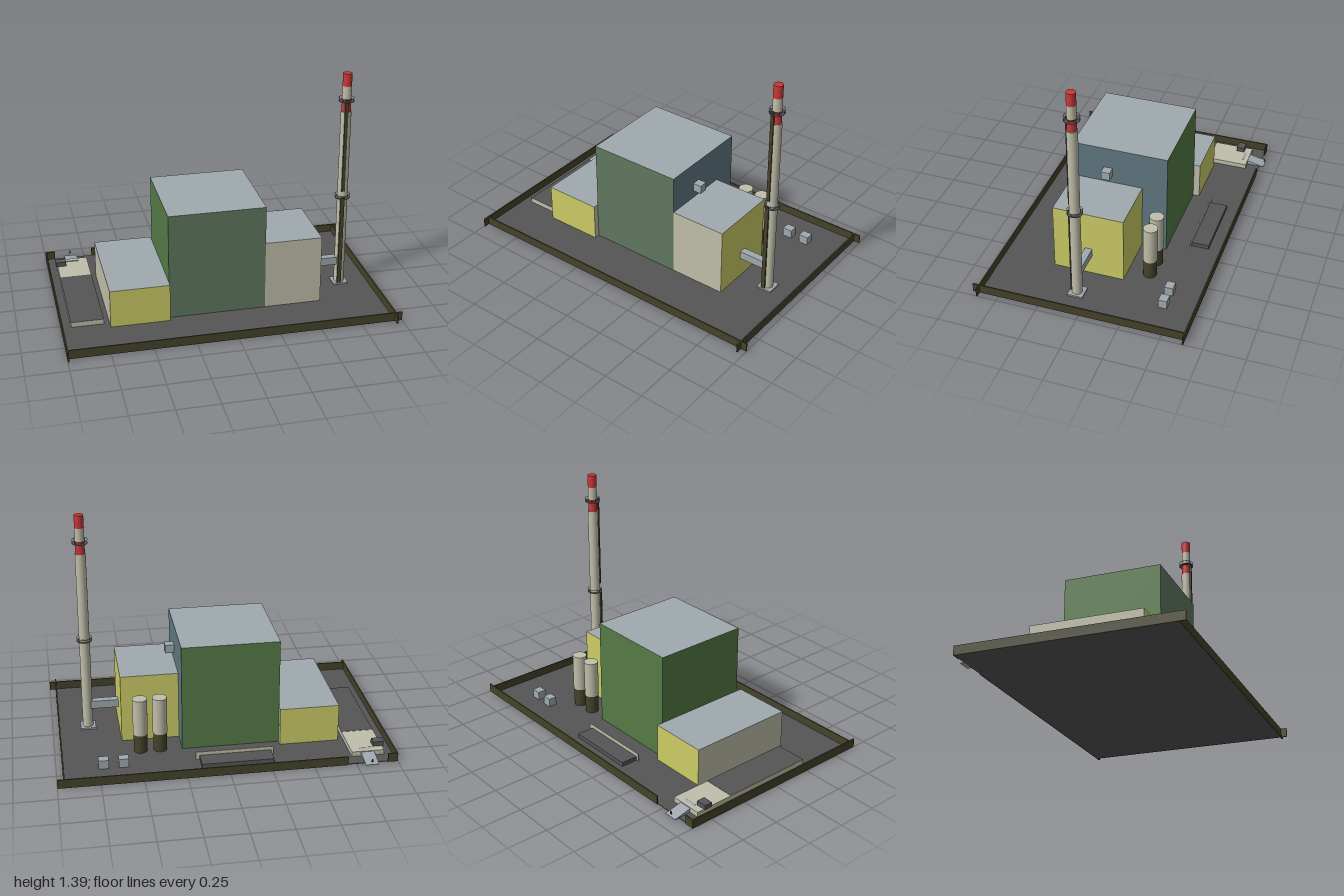
import * as THREE from 'three';

const mat = (name, color) => {
  const m = new THREE.MeshStandardMaterial({ color });
  m.name = name;
  return m;
};

export function createModel() {
  const root = new THREE.Group();
  const cream = mat('cream', 0xc0beaa), yellow = mat('yellow', 0xcccc66);
  const greyGreen = mat('greyGreen', 0x607860), leafGreen = mat('leafGreen', 0x557a46);
  const blue = mat('slateBlue', 0x607882), grey = mat('roofGrey', 0xa0aaaf);
  const asphalt = mat('asphalt', 0x555555), olive = mat('darkOlive', 0x45432a);
  const red = mat('red', 0xc83838);

  const add = (name, geo, material, x = 0, y = 0, z = 0, parent = root) => {
    const m = new THREE.Mesh(geo, material);
    m.name = name;
    m.position.set(x, y, z);
    parent.add(m);
    return m;
  };
  // Box given by its limits on each axis; material may be one per side: +x, -x, +y, -y, +z, -z
  const box = (name, material, x0, x1, y0, y1, z0, z1, parent = root) =>
    add(name, new THREE.BoxGeometry(x1 - x0, y1 - y0, z1 - z0), material,
      (x0 + x1) / 2, (y0 + y1) / 2, (z0 + z1) / 2, parent);
  const tube = (name, material, r0, r1, y0, y1, x, z, parent = root) =>
    add(name, new THREE.CylinderGeometry(r1, r0, y1 - y0, 24), material, x, (y0 + y1) / 2, z, parent);

  // Yard and perimeter wall, open at the gate
  box('ground', asphalt, -0.995, 0.96, 0, 0.004, -0.632, 0.62);
  const wall = new THREE.Group();
  wall.name = 'perimeterWall';
  root.add(wall);
  box('frontWall', olive, -1, 1, 0, 0.055, 0.617, 0.625, wall);
  box('backWallLong', olive, -0.7, 1, 0, 0.055, -0.638, -0.63, wall);
  box('backWallShort', olive, -1, -0.94, 0, 0.055, -0.638, -0.63, wall);
  box('leftWall', olive, 0.956, 0.964, 0, 0.055, -0.638, 0.66, wall);
  box('rightWall', olive, -1, -0.992, 0, 0.055, -0.638, 0.66, wall);

  // Three building blocks
  box('mainHall', [blue, leafGreen, grey, asphalt, greyGreen, leafGreen],
    -0.35, 0.24, 0.002, 0.67, -0.3, 0.295);
  box('lowHall', [cream, cream, grey, asphalt, yellow, yellow],
    -0.71, -0.35, 0.002, 0.24, -0.34, 0.33);
  box('boilerHall', [yellow, cream, grey, asphalt, cream, yellow],
    0.24, 0.59, 0.002, 0.433, -0.145, 0.293);
  box('wallVent', grey, 0.24, 0.295, 0.482, 0.535, 0.043, 0.098);

  // Chimney with painted bands, ladder and two railed platforms
  const chimney = new THREE.Group();
  chimney.name = 'chimney';
  chimney.position.set(0.781, 0, 0.075);
  root.add(chimney);
  box('chimneyBase', grey, -0.047, 0.047, 0.002, 0.014, -0.047, 0.047, chimney);
  tube('shaft', cream, 0.032, 0.032, 0.01, 1.15, 0, 0, chimney);
  tube('lowerRedBand', red, 0.028, 0.028, 1.15, 1.23, 0, 0, chimney);
  tube('paleBand', cream, 0.028, 0.028, 1.23, 1.31, 0, 0, chimney);
  tube('upperRedBand', red, 0.028, 0.028, 1.31, 1.388, 0, 0, chimney);
  box('lowerLadder', olive, -0.022, 0.002, 0.014, 0.6, 0.03, 0.041, chimney);
  box('upperLadder', olive, -0.018, 0.002, 0.64, 1.228, 0.028, 0.038, chimney);
  for (const y of [0.59, 1.215]) {
    const deck = add('platform', new THREE.CylinderGeometry(0.047, 0.047, 0.003, 24), grey, 0, y, 0, chimney);
    deck.material = asphalt;
    const rail = add('rail', new THREE.TorusGeometry(0.046, 0.0015, 6, 24), grey, 0, y + 0.02, 0, chimney);
    rail.rotation.x = Math.PI / 2;
    for (let i = 0; i < 8; i++) {
      const a = (i / 8) * Math.PI * 2;
      add('railPost', new THREE.BoxGeometry(0.002, 0.02, 0.002), grey,
        0.046 * Math.cos(a), y + 0.01, 0.046 * Math.sin(a), chimney);
    }
  }
  box('flueDuct', grey, 0.59, 0.76, 0.135, 0.185, 0.05, 0.095);

  // Pair of silos on dark skirts, and pair of small units
  for (const x of [0.37, 0.488]) {
    tube('siloSkirt', olive, 0.041, 0.041, 0.002, 0.12, x, -0.278);
    tube('silo', cream, 0.044, 0.044, 0.12, 0.35, x, -0.278);
  }
  for (const x of [0.605, 0.723]) box('serviceUnit', grey, x - 0.03, x + 0.03, 0.002, 0.058, -0.465, -0.412);

  // Loading dock behind the main hall
  box('dockSlab', asphalt, -0.275, 0.155, 0.002, 0.03, -0.547, -0.44);
  box('dockWall', cream, -0.29, 0.178, 0.002, 0.052, -0.44, -0.433);

  // Raised gate road: pale apron, dark roadway, entry ramp and kiosk
  box('roadway', [cream, cream, asphalt, asphalt, cream, cream], -0.94, -0.743, 0.002, 0.036, -0.3, 0.282);
  box('apron', cream, -0.94, -0.743, 0.002, 0.034, -0.55, -0.3);
  const profile = new THREE.Shape([[0.66, 0.001], [0.51, 0.001], [0.51, 0.038], [0.66, 0.004]]
    .map(([a, b]) => new THREE.Vector2(a, b)));
  const ramp = add('entryRamp', new THREE.ExtrudeGeometry(profile, { depth: 0.08, bevelEnabled: false }), grey, -0.8);
  ramp.rotation.y = Math.PI / 2;
  ramp.position.x = -0.88;
  box('gateMarker', asphalt, -0.845, -0.835, 0.02, 0.038, -0.658, -0.654);
  box('kiosk', asphalt, -0.95, -0.885, 0.034, 0.063, -0.503, -0.452);

  return root;
}
